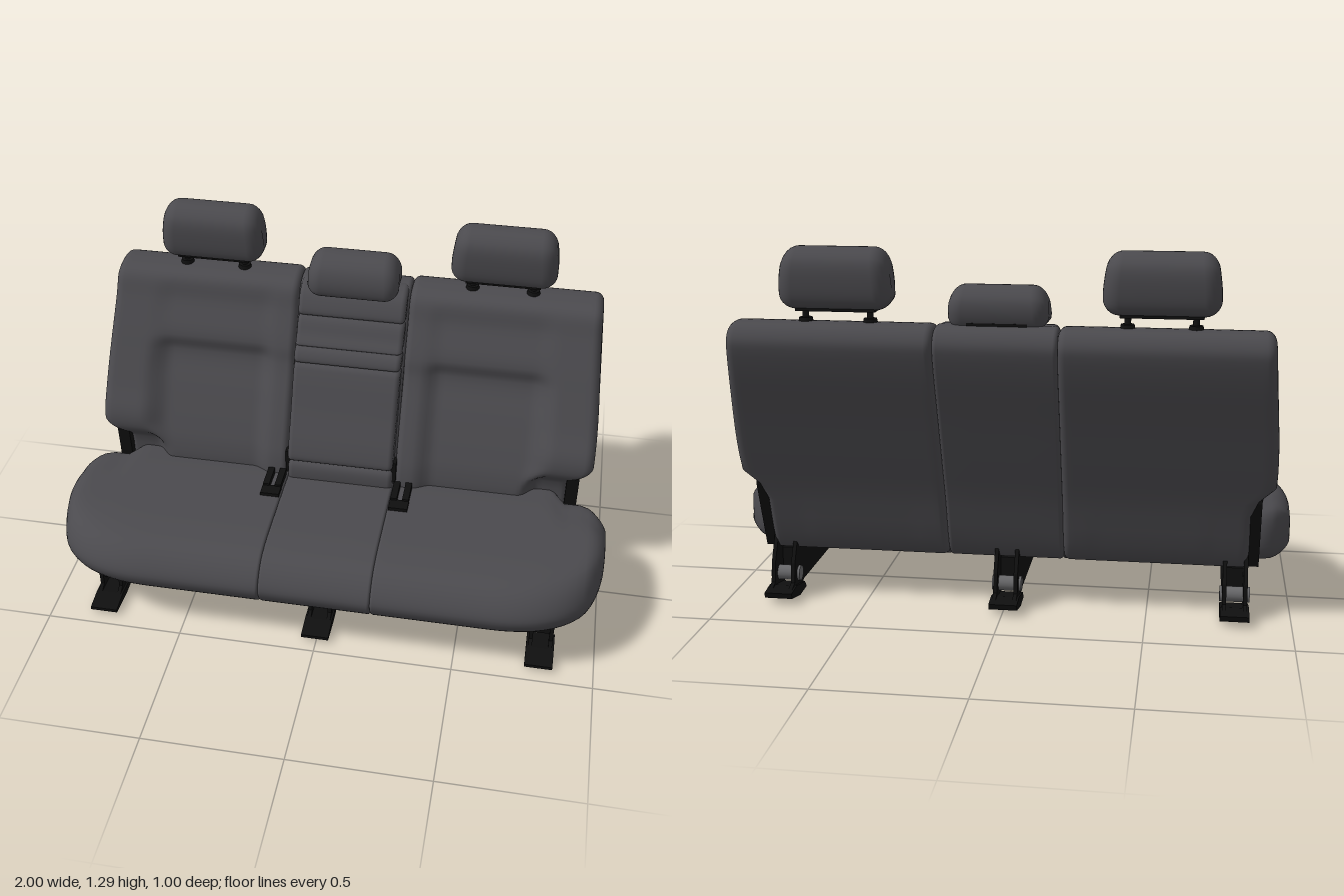
import * as THREE from 'three';

const mat = (name, color) => {
  const m = new THREE.MeshStandardMaterial({ color });
  m.name = name;
  return m;
};
const smooth = THREE.MathUtils.smoothstep;
const mix = (a, b, t) => a.map((p, i) => [p[0] + (b[i][0] - p[0]) * t, p[1] + (b[i][1] - p[1]) * t]);

// Closed smooth ring of [z, y] points through the control points, pulled inwards by inset
function ring(ctrl, inset, n = 5) {
  const curve = new THREE.CatmullRomCurve3(ctrl.map(([z, y]) => new THREE.Vector3(z, y, 0)), true, 'centripetal');
  let pts = curve.getPoints(ctrl.length * n).slice(0, -1);
  const k = pts.length;
  let area = 0;
  pts.forEach((p, i) => { const q = pts[(i + 1) % k]; area += p.x * q.y - q.x * p.y; });
  if (area < 0) pts.reverse();
  return pts.map((p, i) => {
    const t = pts[(i + 1) % k].clone().sub(pts[(i + k - 1) % k]).normalize();
    return [p.x - t.y * inset, p.y + t.x * inset];
  });
}

// Padded body: side profiles swept along x from x0 to x1, with rounded ends r0 and r1
function loft(x0, x1, r0, r1, profile, { side = 1, warp = x => x, steps = 4 } = {}) {
  const xs = [];
  const arc = k => 1 - Math.cos(k / 6 * Math.PI / 2);
  for (let k = 0; k <= 6; k++) xs.push(x0 + r0 * arc(k));
  for (let k = 1; k < steps; k++) xs.push(x0 + r0 + (x1 - r1 - x0 - r0) * k / steps);
  for (let k = 6; k >= 0; k--) xs.push(x1 - r1 * arc(k));
  const inset = (d, r) => d >= r ? 0 : r - Math.sqrt(Math.max(0, r * r - (r - d) ** 2));
  const pos = [], idx = [];
  const tri = (a, b, c) => side > 0 ? idx.push(a, b, c) : idx.push(a, c, b);
  const put = (x, y, z) => pos.push(side * warp(x, y, z), y, z);
  const rings = xs.map(x => ring(profile(x), Math.max(inset(x - x0, r0), inset(x1 - x, r1))));
  const n = rings[0].length;
  rings.forEach((rg, i) => rg.forEach(([z, y], j) => {
    put(xs[i], y, z);
    if (i === rings.length - 1) return;
    const a = i * n + j, b = i * n + (j + 1) % n;
    tri(a, a + n, b);
    tri(b, a + n, b + n);
  }));
  // End caps
  [0, rings.length - 1].forEach(i => {
    const shape = rings[i].map(([z, y]) => new THREE.Vector2(z, y));
    THREE.ShapeUtils.triangulateShape(shape, []).forEach(([a, b, c]) => {
      const o = i * n;
      if (i === 0) tri(o + a, o + b, o + c); else tri(o + a, o + c, o + b);
    });
  });
  const g = new THREE.BufferGeometry();
  g.setAttribute('position', new THREE.Float32BufferAttribute(pos, 3));
  g.setIndex(idx);
  g.computeVertexNormals();
  return g;
}

// Flat plate with a [z, y] outline, width w, centred on x
function plate(outline, w, x) {
  const shape = new THREE.Shape(outline.map(p => new THREE.Vector2(...p)));
  return new THREE.ExtrudeGeometry(shape, { depth: w, bevelEnabled: false })
    .rotateY(-Math.PI / 2).translate(x + w / 2, 0, 0);
}
const box = (w, h, d, x, y, z) => new THREE.BoxGeometry(w, h, d).translate(x, y, z);

export function createModel() {
  const model = new THREE.Group();
  model.name = 'rearBenchSeat';
  const fabric = mat('charcoal upholstery', 0x4b4a4e);
  const black = mat('black frame', 0x0f0f0f);
  const steel = mat('grey bolt', 0x68686a);
  const add = (name, geo, m = fabric) => {
    const mesh = new THREE.Mesh(geo, m);
    mesh.name = name;
    model.add(mesh);
  };

  // Seat cushions
  const cushion = x => {
    const t = Math.max(0, (x - 0.6) / 0.41);
    const zf = 0.1 + 0.39 * Math.pow(1 - t ** 2.5, 0.4);
    const zb = -0.2 + 0.09 * smooth(x, 0.78, 0.84) + 0.06 * smooth(x, 0.9, 1);
    const e = Math.min(1, (zf - zb) / 0.4);
    return [[zb, 0.22], [zb + 0.03 * e, 0.167], [zf - 0.12 * e, 0.165], [zf - 0.04 * e, 0.175],
      [zf + 0.01, 0.25], [zf - 0.02 * e, 0.315], [zf - 0.09 * e, 0.36], [(zf + zb) / 2, 0.37],
      [zb + 0.12 * e, 0.36], [zb + 0.02 * e, 0.335]];
  };
  add('centreCushion', loft(-0.2, 0.2, 0.01, 0.01, cushion));

  // Backrest profiles: shared rear line, with different fronts
  const rear = [[-0.2, 0.175], [-0.3, 0.43], [-0.4, 0.69], [-0.49, 0.93], [-0.497, 0.99], [-0.465, 1.033], [-0.39, 1.042]];
  const bolster = [...rear, [-0.32, 1.02], [-0.28, 0.94], [-0.222, 0.82], [-0.195, 0.76], [-0.135, 0.63],
    [-0.085, 0.53], [-0.083, 0.465], [-0.13, 0.4], [-0.15, 0.2]];
  const panel = [...rear, [-0.32, 1.02], [-0.29, 0.94], [-0.23, 0.82], [-0.235, 0.755], [-0.175, 0.63],
    [-0.115, 0.5], [-0.085, 0.42], [-0.075, 0.34], [-0.12, 0.2]];
  const inner = panel.map(([z, y], i) => [z + (i > 9 ? 0.033 : i > 7 ? 0.01 : 0), y]);
  const backProfile = x =>
    mix(mix(panel, inner, 1 - smooth(x, 0.27, 0.34)), bolster, smooth(x, 0.68, 0.78));
  const backWarp = (x, y) => {
    const edge = 0.85 + 0.08 * smooth(y, 0.4, 0.5) - 0.03 * smooth(y, 0.55, 1.05);
    return x + (edge - 0.93) * Math.max(0, (x - 0.6) / 0.33);
  };

  // Headrest profiles
  const headrest = [[-0.34, 1.1], [-0.323, 1.18], [-0.33, 1.25], [-0.37, 1.287], [-0.43, 1.287], [-0.475, 1.25],
    [-0.482, 1.17], [-0.465, 1.105], [-0.43, 1.087], [-0.375, 1.087]];
  const lowHeadrest = [[-0.27, 1.025], [-0.257, 1.07], [-0.275, 1.13], [-0.32, 1.164], [-0.38, 1.165], [-0.425, 1.13],
    [-0.432, 1.08], [-0.41, 1.03], [-0.35, 1.025]];

  for (const side of [1, -1]) {
    const s = side > 0 ? 'left' : 'right';
    add(s + 'Cushion', loft(0.2, 1, 0.01, 0.07, cushion, { side, steps: 24 }));
    add(s + 'Backrest', loft(0.205, 0.93, 0.025, 0.035, backProfile, { side, warp: backWarp, steps: 36 }));
    // Outer headrest, narrowing towards the top
    add(s + 'Headrest', loft(-0.19, 0.19, 0.055, 0.055, () => headrest,
      { warp: (x, y) => x * (1 - 0.07 * smooth(y, 1.15, 1.29)) }).translate(side * 0.535, 0, 0));
    add(s + 'HeadrestBase', box(0.27, 0.02, 0.08, side * 0.535, 1.09, -0.4), black);
    for (const dx of [-0.11, 0.11]) {
      const x = side * 0.535 + dx;
      add(s + 'HeadrestPost', new THREE.CylinderGeometry(0.011, 0.011, 0.1, 12).translate(x, 1.06, -0.4), black);
      add(s + 'PostCollar', new THREE.CylinderGeometry(0.022, 0.026, 0.02, 16).translate(x, 1.045, -0.4), black);
    }
    // Hinge plate under the outer bolster
    add(s + 'HingePlate', plate([[-0.1, 0.465], [-0.11, 0.36], [-0.12, 0.18], [-0.19, 0.175], [-0.28, 0.43], [-0.28, 0.47]],
      0.045, side * 0.862), black);
    // Belt buckles between the cushions
    add(s + 'BuckleBase', box(0.07, 0.025, 0.05, side * 0.24, 0.37, 0.08), black);
    for (const dx of [-0.022, 0.022])
      add(s + 'Buckle', box(0.024, 0.035, 0.1, side * 0.24 + dx, 0.373, 0.01), black);
    add(s + 'ArmrestHinge', box(0.02, 0.09, 0.06, side * 0.2, 0.42, -0.08), black);
  }

  // Centre backrest: core, upper pad, strap band, folding armrest and base
  const core = [...rear.map(([z, y]) => [z + 0.008, y - 0.002]), [-0.33, 1.01], [-0.29, 0.92], [-0.22, 0.8], [-0.15, 0.63],
    [-0.09, 0.48], [-0.06, 0.38], [-0.12, 0.2]];
  add('centreBackrest', loft(-0.205, 0.205, 0.015, 0.015, () => core));
  const pads = {
    topPad: [[-0.4, 1.035], [-0.31, 1.03], [-0.275, 0.99], [-0.262, 0.945], [-0.3, 0.935], [-0.4, 0.95]],
    upperPad: [[-0.3, 0.937], [-0.26, 0.935], [-0.225, 0.885], [-0.2, 0.848], [-0.23, 0.842], [-0.29, 0.87]],
    strapBand: [[-0.25, 0.843], [-0.19, 0.84], [-0.168, 0.8], [-0.18, 0.788], [-0.24, 0.79]],
    armrest: [[-0.24, 0.787], [-0.172, 0.785], [-0.15, 0.755], [-0.095, 0.63], [-0.035, 0.5], [-0.025, 0.45],
      [-0.05, 0.435], [-0.12, 0.45], [-0.19, 0.65]],
    lowerPad: [[-0.12, 0.43], [-0.04, 0.428], [-0.025, 0.39], [-0.035, 0.33], [-0.12, 0.3]],
  };
  for (const [name, pts] of Object.entries(pads))
    add(name, loft(-0.198, 0.198, 0.018, 0.018, () => pts));
  add('centreHeadrest', loft(-0.167, 0.167, 0.05, 0.05, () => lowHeadrest,
    { warp: (x, y) => x * (1 - 0.06 * smooth(y, 1.08, 1.17)) }));
  add('centreHeadrestBase', box(0.2, 0.03, 0.09, 0, 1.035, -0.38), black);

  // Floor mounts: twin side plates, web, feet and pivot bolt
  const rail = [[0.37, 0.175], [0.345, 0.13], [0.345, 0.05], [0.39, 0.028], [0.39, 0.01], [0.28, 0.01], [0.27, 0.037],
    [-0.16, 0.037], [-0.17, 0.01], [-0.31, 0.02], [-0.32, 0.04], [-0.27, 0.06], [-0.26, 0.13], [-0.21, 0.225],
    [-0.18, 0.22], [-0.19, 0.17]];
  for (const x of [-0.805, -0.005, 0.805]) {
    for (const dx of [-0.036, 0.036]) add('mountPlate', plate(rail, 0.014, x + dx), black);
    add('mountWeb', box(0.07, 0.09, 0.5, x, 0.115, 0.08), black);
    add('frontFoot', plate([[0.45, 0.012], [0.45, 0.024], [0.37, 0.035], [0.29, 0.03], [0.28, 0.005], [0.33, 0]], 0.1, x), black);
    add('rearFoot', plate([[-0.15, 0.005], [-0.17, 0.03], [-0.27, 0.05], [-0.335, 0.042], [-0.33, 0.022], [-0.23, 0]], 0.1, x), black);
    add('pivotBolt', new THREE.CylinderGeometry(0.027, 0.027, 0.104, 16).rotateZ(Math.PI / 2).translate(x, 0.08, -0.215), steel);
  }
  return model;
}
